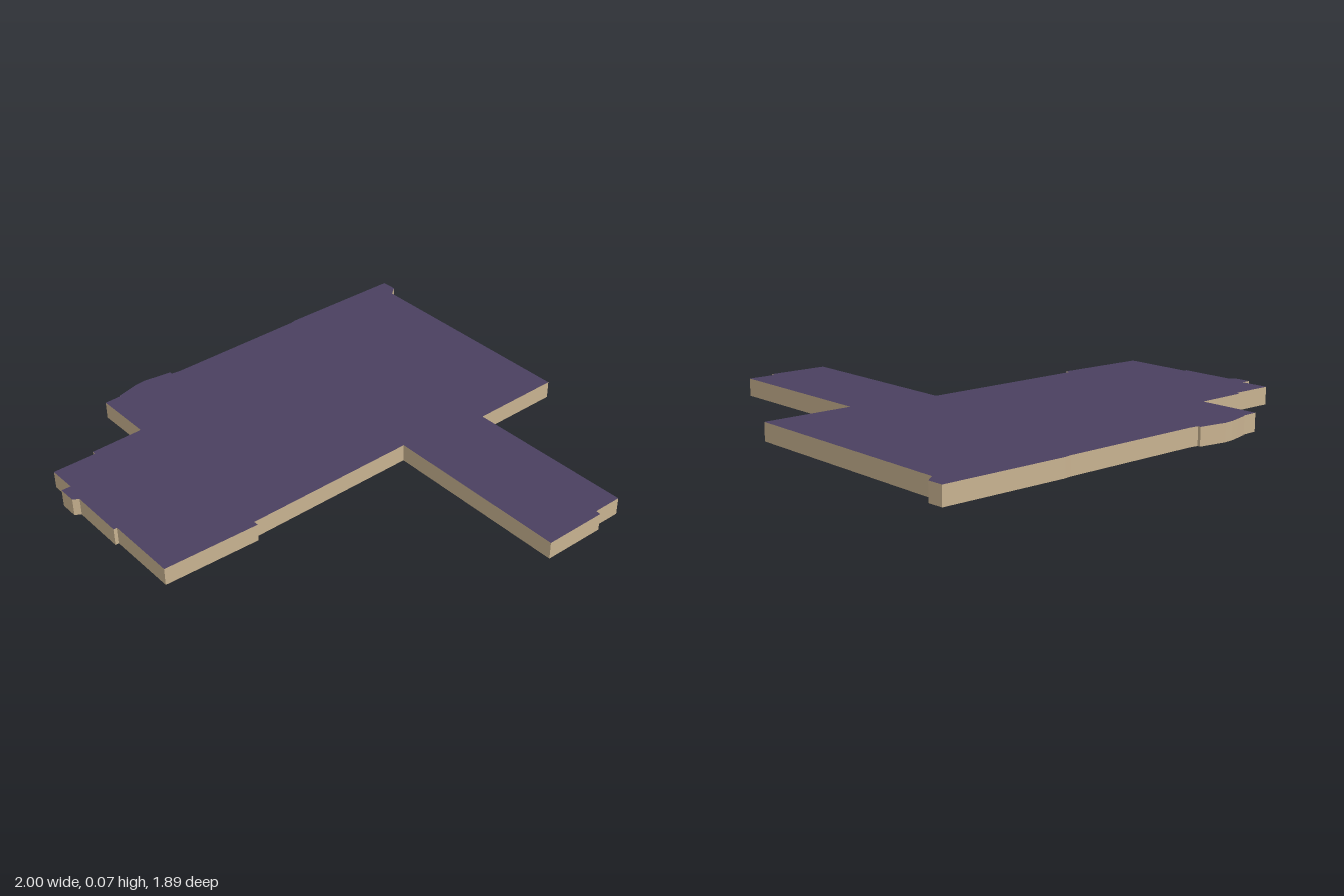
import * as THREE from 'three';

const HEIGHT = 0.072;

// Building footprint as [x, z], clockwise seen from above, from the back left corner
const OUTLINE = [
  [-0.457, -0.943], [-0.388, -0.933], [-0.387, -0.938], [-0.33, -0.943], [-0.29, -0.946],
  [-0.25, -0.943], [-0.137, -0.908], [-0.14, -0.896], [-0.1, -0.885],
  [0.47, -0.795], [0.5, -0.795], [1, -0.708], [0.993, -0.645], [0.95, -0.622],
  [0.807, 0.317], [0.437, 0.258],
  [0.338, 0.942], [0.223, 0.922], [0.218, 0.942], [-0.03, 0.898],
  [0.088, 0.142], [-0.617, 0.028], [-0.62, 0.048], [-1, -0.03],
  [-0.955, -0.32], [-0.969, -0.322], [-0.933, -0.548], [-0.953, -0.565],
  [-0.942, -0.637], [-0.905, -0.63], [-0.888, -0.745],
  [-0.713, -0.715], [-0.709, -0.73], [-0.494, -0.698],
];

// Vertical wall skirt: one flat quad for each outline edge
function wallGeometry(outline, height) {
  const positions = [];
  outline.forEach(([ax, az], i) => {
    const [bx, bz] = outline[(i + 1) % outline.length];
    positions.push(
      bx, 0, bz, ax, 0, az, ax, height, az,
      bx, 0, bz, ax, height, az, bx, height, bz,
    );
  });
  const geometry = new THREE.BufferGeometry();
  geometry.setAttribute('position', new THREE.Float32BufferAttribute(positions, 3));
  geometry.computeVertexNormals();
  return geometry;
}

export function createModel() {
  const wallMaterial = new THREE.MeshStandardMaterial({ color: 0xc8b290, side: THREE.DoubleSide });
  wallMaterial.name = 'tan wall';
  const roofMaterial = new THREE.MeshStandardMaterial({ color: 0x4a4060, side: THREE.DoubleSide });
  roofMaterial.name = 'purple slate roof';

  const model = new THREE.Group();
  model.name = 'building';

  // Walls, open underneath
  const walls = new THREE.Mesh(wallGeometry(OUTLINE, HEIGHT), wallMaterial);
  walls.name = 'walls';

  // Flat roof sheet closing the top
  const shape = new THREE.Shape(OUTLINE.map(([x, z]) => new THREE.Vector2(x, -z)));
  const roof = new THREE.Mesh(new THREE.ShapeGeometry(shape).rotateX(-Math.PI / 2), roofMaterial);
  roof.position.y = HEIGHT;
  roof.name = 'roof';

  model.add(walls, roof);
  return model;
}
